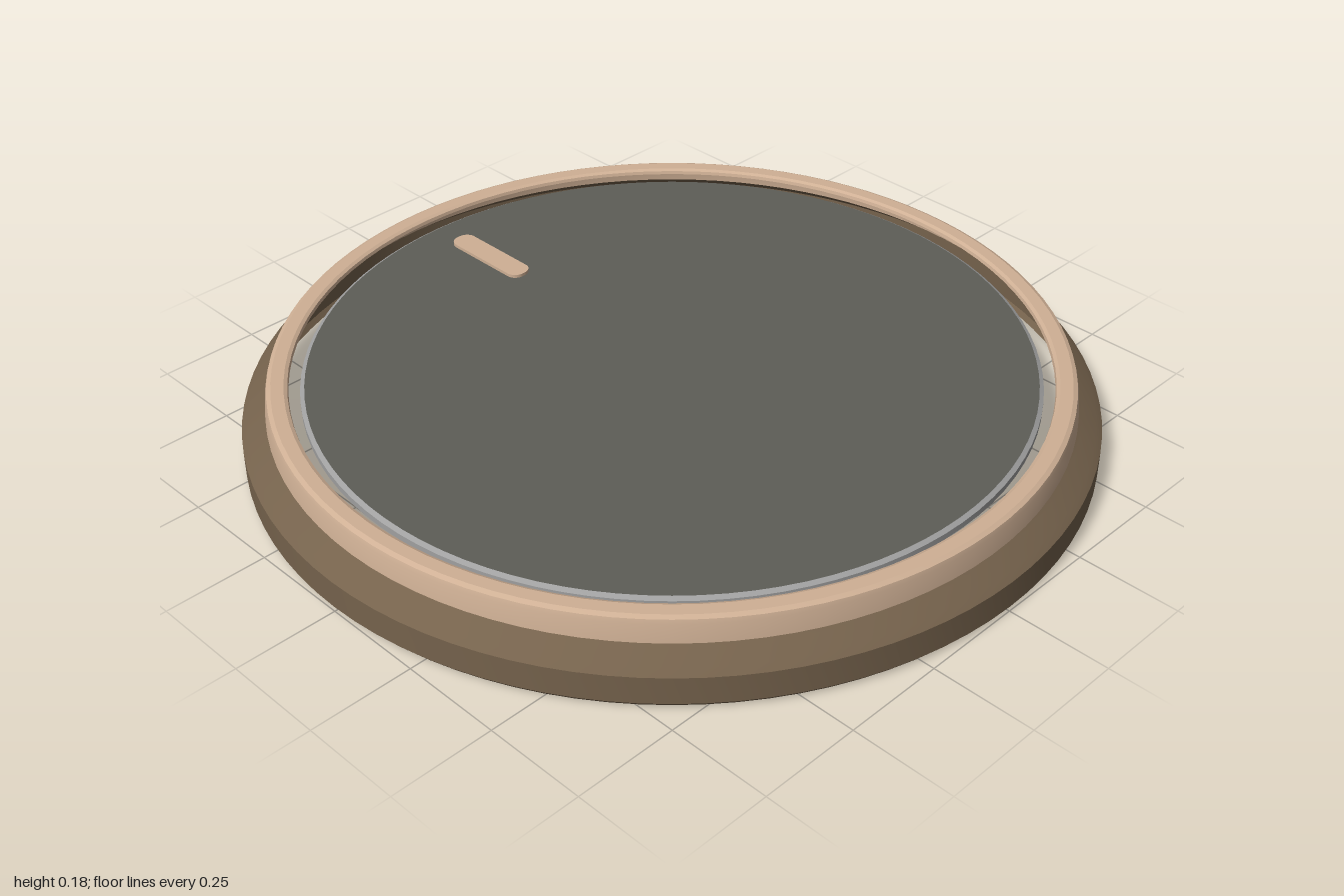
import * as THREE from 'three';
import { toCreasedNormals } from 'three/addons/utils/BufferGeometryUtils.js';

const SEGMENTS = 96;

function material(name, color) {
  const m = new THREE.MeshStandardMaterial({ color, side: THREE.DoubleSide });
  m.name = name;
  return m;
}

// Surface of revolution from [radius, height] pairs, with crisp profile edges
function ring(name, profile, mat) {
  const points = profile.map(([r, y]) => new THREE.Vector2(r, y));
  const geometry = toCreasedNormals(new THREE.LatheGeometry(points, SEGMENTS), 0.35);
  const mesh = new THREE.Mesh(geometry, mat);
  mesh.name = name;
  return mesh;
}

export function createModel() {
  const bronze = material('darkBronze', 0x75624c);
  const tan = material('paleTan', 0xcfb095);
  const charcoal = material('charcoal', 0x5d5d57);
  const silver = material('silver', 0xa0a0a0);

  const model = new THREE.Group();
  model.name = 'dial';

  // Hollow outer skirt with a sloping shoulder
  model.add(ring('outerSkirt', [
    [0.99, 0], [1, 0.012], [1, 0.08], [0.985, 0.093], [0.95, 0.115], [0.943, 0.12],
  ], bronze));

  // Raised upper rim with a rolled lip
  model.add(ring('upperRim', [
    [0.943, 0.12], [0.938, 0.165], [0.935, 0.175], [0.925, 0.18],
    [0.895, 0.18], [0.887, 0.176], [0.885, 0.168],
  ], tan));

  // Thin edge band of the floating cap
  model.add(ring('capEdge', [[0.86, 0.143], [0.86, 0.158], [0.85, 0.164]], silver));

  // Flat cap face
  const cap = new THREE.Mesh(new THREE.CircleGeometry(0.85, SEGMENTS), charcoal);
  cap.name = 'capFace';
  cap.rotation.x = -Math.PI / 2;
  cap.position.y = 0.164;
  model.add(cap);

  // Rounded pointer mark near the back edge
  const w = 0.03, a = 0.52, b = 0.77, r = 0.026;
  const outline = new THREE.Shape();
  outline.moveTo(-w + r, a);
  outline.lineTo(w - r, a);
  outline.absarc(w - r, a + r, r, -Math.PI / 2, 0, false);
  outline.absarc(w - r, b - r, r, 0, Math.PI / 2, false);
  outline.absarc(-w + r, b - r, r, Math.PI / 2, Math.PI, false);
  outline.absarc(-w + r, a + r, r, Math.PI, Math.PI * 1.5, false);
  const pointer = new THREE.Mesh(
    new THREE.ExtrudeGeometry(outline, { depth: 0.008, bevelEnabled: false, curveSegments: 6 }), tan);
  pointer.name = 'pointerMark';
  pointer.rotation.x = -Math.PI / 2;
  pointer.position.y = 0.165;
  model.add(pointer);

  return model;
}
